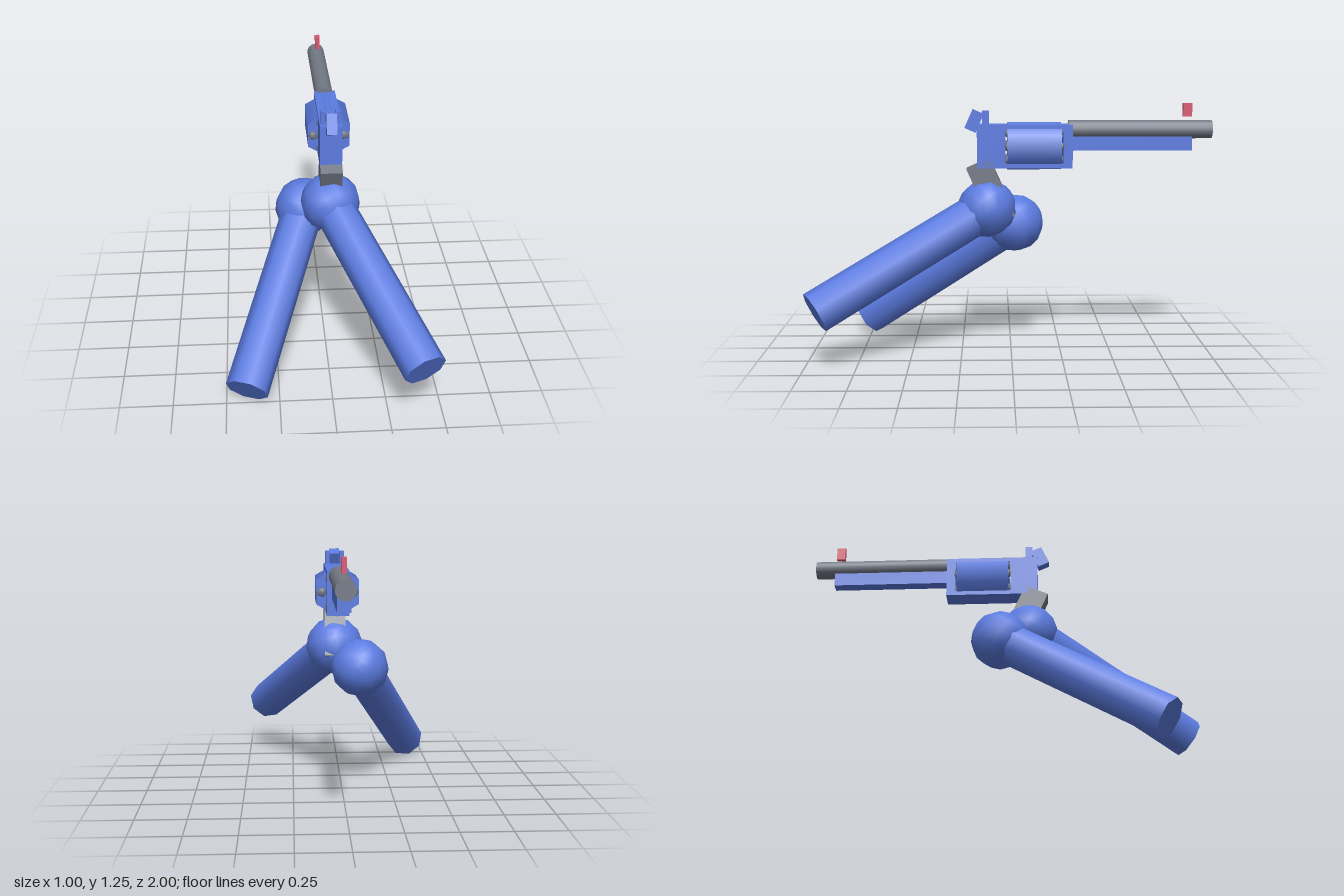
import * as THREE from 'three';

const V = (x, y, z) => new THREE.Vector3(x, y, z);
const GX = 0.032; // centre plane of the gun

export function createModel() {
  const model = new THREE.Group();
  const blue = new THREE.MeshStandardMaterial({ color: 0x5b7be0 });
  const grey = new THREE.MeshStandardMaterial({ color: 0x747a86 });
  const red = new THREE.MeshStandardMaterial({ color: 0xd9566f });

  const add = (name, geometry, material, x, y, z, parent = model) => {
    const mesh = new THREE.Mesh(geometry, material);
    mesh.name = name;
    mesh.position.set(x, y, z);
    parent.add(mesh);
    return mesh;
  };
  const box = (name, material, size, x, y, z) =>
    add(name, new THREE.BoxGeometry(...size), material, x, y, z);
  const rod = (radius, length, sides) =>
    new THREE.CylinderGeometry(radius, radius, length, sides).rotateX(Math.PI / 2);

  // Frame: side profile with a window for the drum
  const rect = (path, z0, y0, z1, y1) =>
    path.moveTo(z0, y0).lineTo(z1, y0).lineTo(z1, y1).lineTo(z0, y1).closePath();
  const profile = rect(new THREE.Shape(), -0.305, 0.94, 0.17, 1.155);
  profile.holes.push(rect(new THREE.Path(), -0.258, 0.962, 0.028, 1.132));
  const frameGeo = new THREE.ExtrudeGeometry(profile, { depth: 0.107, bevelEnabled: false });
  frameGeo.translate(0, 0, -0.0535).rotateY(-Math.PI / 2);
  add('frame', frameGeo, blue, GX, 0, 0);

  // Six-sided drum with rounds showing at both ends
  const drum = new THREE.Group();
  drum.name = 'drum';
  drum.position.set(GX, 1.048, -0.115);
  model.add(drum);
  add('drumBody', rod(0.118, 0.268, 6), blue, 0, 0, 0, drum);
  for (let i = 0; i < 6; i++) {
    const a = i * Math.PI / 3;
    for (const end of [-1, 1]) {
      const dome = new THREE.SphereGeometry(0.025, 5, 4).rotateX(Math.PI / 2).scale(1, 1, 0.5);
      add('round', dome, grey, 0.077 * Math.cos(a), 0.077 * Math.sin(a), end * 0.134, drum);
    }
  }

  // Barrel, lug beneath it and sights
  add('barrel', rod(0.046, 0.715, 14), grey, GX - 0.002, 1.13, -0.6425);
  box('barrelLug', blue, [0.06, 0.07, 0.615], GX, 1.06, -0.5925);
  box('frontSight', red, [0.024, 0.068, 0.045], GX, 1.226, -0.878);
  for (const side of [-1, 1])
    box('rearSight', blue, [0.022, 0.065, 0.036], GX + side * 0.036, 1.188, 0.127);

  // Hammer and grip
  box('hammer', blue, [0.05, 0.1, 0.06], GX, 1.172, 0.184).rotation.x = -0.42;
  box('grip', grey, [0.107, 0.31, 0.127], GX, 0.819, 0.101).rotation.x = 0.42;

  // Each arm: a round hand and a forearm reaching forward
  const addArm = (side, hand, end) => {
    const arm = new THREE.Group();
    arm.name = side + 'Arm';
    model.add(arm);
    const dir = end.clone().sub(hand).normalize();
    const turn = new THREE.Quaternion().setFromUnitVectors(V(0, 1, 0), dir);
    const start = hand.clone().addScaledVector(dir, 0.1);
    const mid = start.clone().add(end).multiplyScalar(0.5);
    const forearm = new THREE.CylinderGeometry(0.103, 0.103, start.distanceTo(end), 8);
    add(side + 'Hand', new THREE.SphereGeometry(0.147, 12, 8), blue, ...hand, arm).quaternion.copy(turn);
    add(side + 'Forearm', forearm, blue, ...mid, arm).quaternion.copy(turn);
  };
  addArm('left', V(0.032, 0.735, 0.122), V(0.402, 0.285, 0.94));
  addArm('right', V(-0.09, 0.642, -0.02), V(-0.403, 0.086, 0.763));

  return model;
}
